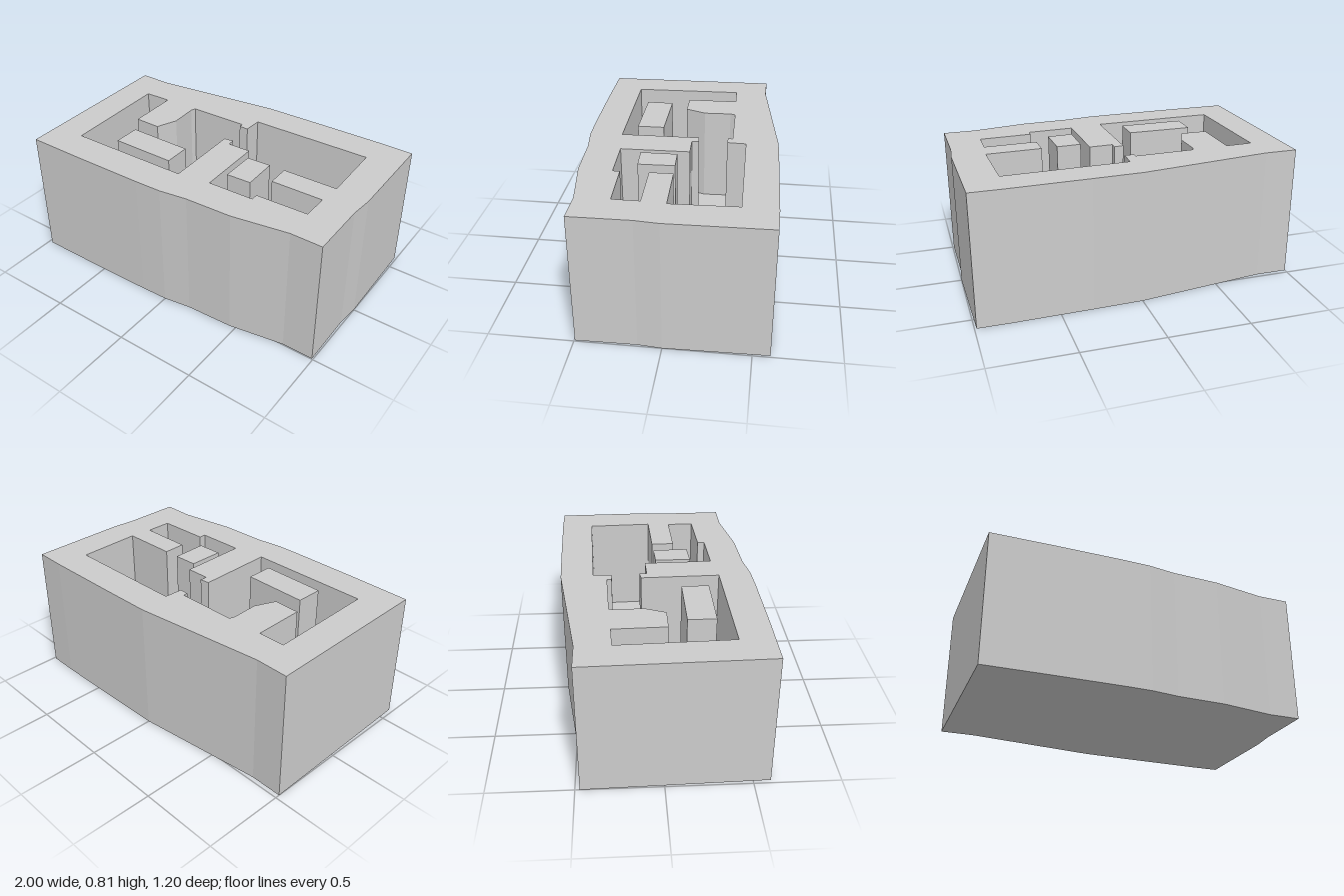
import * as THREE from 'three';

const HEIGHT = 0.813, FLOOR = 0.2;

// Plan outlines as [x, z] corners, all clockwise seen from above
const OUTLINE = [
  [-1, -0.473], [-0.8, -0.473], [0, -0.578], [0.3, -0.588], [0.8, -0.601], [0.988, -0.601],
  [1, 0], [0.988, 0.14], [0.993, 0.496], [0.8, 0.496], [0.46, 0.553], [0.17, 0.565],
  [0, 0.59], [-0.17, 0.596], [-0.6, 0.601], [-0.976, 0.601],
];
const ROOMS = [
  [-0.8, -0.271], [-0.635, -0.276], [-0.628, 0.04], [-0.465, 0.04], [-0.413, -0.087],
  [-0.42, -0.255], [-0.41, -0.286], [-0.04, -0.296], [-0.04, -0.267], [0.018, -0.267],
  [0.022, -0.381], [0.783, -0.401], [0.798, -0.007], [0.458, 0.003], [0.462, 0.143],
  [0.787, 0.135], [0.787, 0.296], [0.467, 0.309], [0.467, 0.352], [0.182, 0.362],
  [0.173, -0.056], [0.028, -0.051], [0.028, -0.096], [-0.031, -0.088], [-0.02, 0.391],
  [-0.778, 0.404],
];
const LONG_BLOCK = [[-0.555, 0.149], [-0.155, 0.149], [-0.153, 0.315], [-0.555, 0.316]];
const SMALL_BLOCK = [[0.212, 0.014], [0.362, 0.007], [0.369, 0.226], [0.214, 0.234]];

const toPoints = (plan) => plan.map(([x, z]) => new THREE.Vector2(x, -z));

export function createModel() {
  const group = new THREE.Group();
  const material = new THREE.MeshStandardMaterial({ color: 0xcccccc, flatShading: true });

  // Raises a plan outline from y0 to y1; the outer edge runs opposite to the holes
  function raise(name, plan, y0, y1, holes = []) {
    const shape = new THREE.Shape(toPoints(plan).reverse());
    holes.forEach((h) => shape.holes.push(new THREE.Path(toPoints(h))));
    const geometry = new THREE.ExtrudeGeometry(shape, { depth: y1 - y0, bevelEnabled: false });
    geometry.rotateX(-Math.PI / 2).translate(0, y0, 0);
    const mesh = new THREE.Mesh(geometry, material);
    mesh.name = name;
    group.add(mesh);
  }

  // Solid base below the sunken rooms
  raise('floorSlab', OUTLINE, 0, FLOOR);
  // Thick surrounding wall with the connected rooms cut out
  raise('walls', OUTLINE, FLOOR, HEIGHT, [ROOMS]);
  // Free-standing blocks inside the rooms
  raise('longBlock', LONG_BLOCK, FLOOR, HEIGHT);
  raise('smallBlock', SMALL_BLOCK, FLOOR, HEIGHT);

  return group;
}
